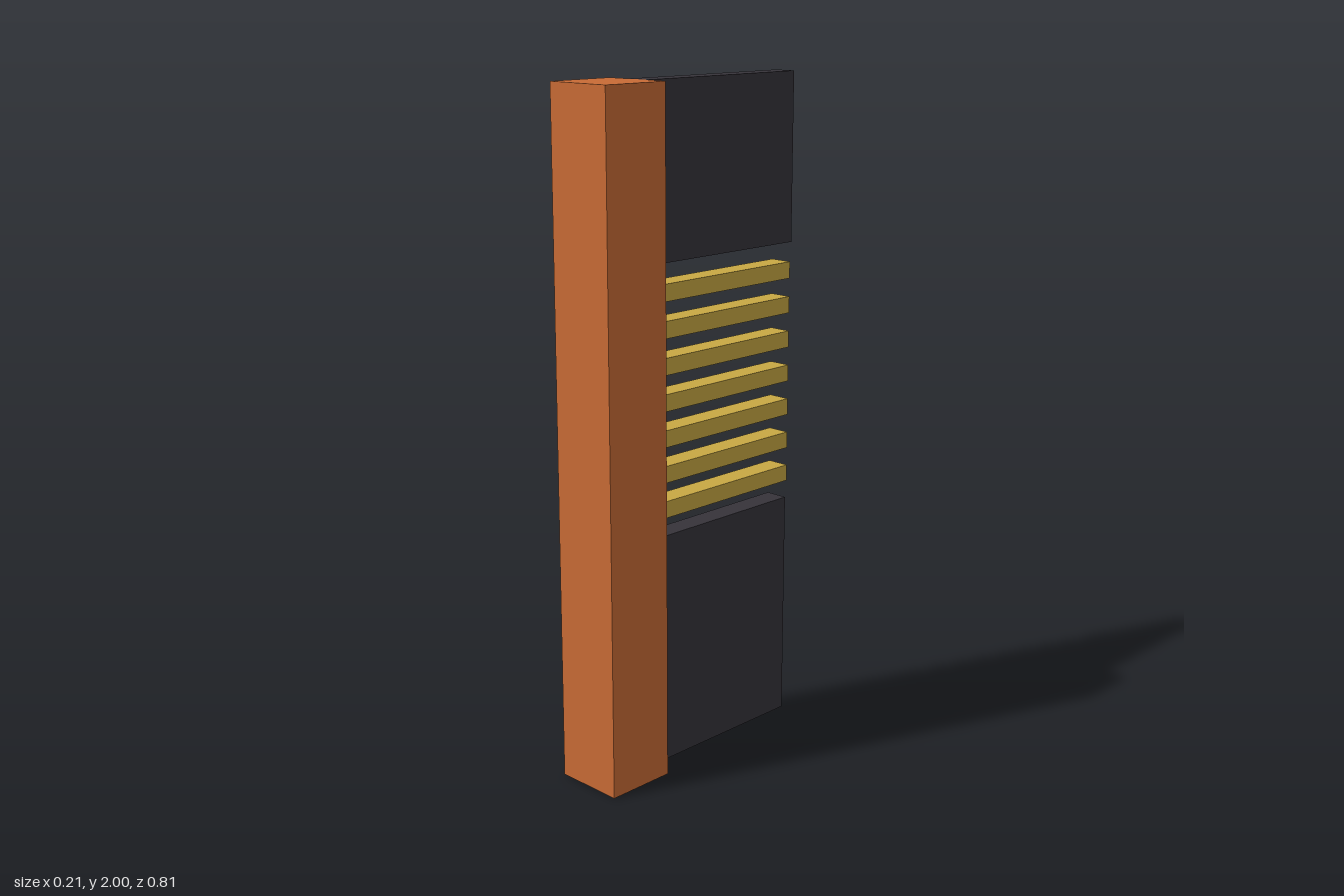
import * as THREE from 'three';

const material = (color, side = THREE.FrontSide) =>
  new THREE.MeshStandardMaterial({ color, side });

const THICKNESS = 0.07;
const POST_BACK = 0.19;

// Rectangular sleeve running back from the post, open at both ends
function sleeve(name, bottom, top, back, mat) {
  const length = POST_BACK - back;
  const geometry = new THREE.BoxGeometry(THICKNESS, top - bottom, length);
  // keep the four long walls, drop the two z ends
  geometry.setIndex(Array.from(geometry.index.array).slice(0, 24));
  geometry.clearGroups();
  const mesh = new THREE.Mesh(geometry, mat);
  mesh.name = name;
  mesh.position.set(0, (bottom + top) / 2, back + length / 2);
  return mesh;
}

export function createModel() {
  const group = new THREE.Group();
  group.name = 'slattedFencePost';

  const orange = material(0xc86b35);
  const dark = material(0x36333a, THREE.DoubleSide);
  const gold = material(0xc8a843, THREE.DoubleSide);

  // Square post at the front
  const post = new THREE.Mesh(new THREE.BoxGeometry(0.214, 2, 0.215), orange);
  post.name = 'post';
  post.position.set(0, 1, 0.2975);
  group.add(post);

  // Solid-looking panels above and below the slats
  group.add(sleeve('upperPanel', 1.5, 2, -0.405, dark));
  group.add(sleeve('lowerPanel', 0, 0.705, -0.395, dark));

  // Seven evenly spaced slats
  const slats = new THREE.Group();
  slats.name = 'slats';
  for (let i = 0; i < 7; i++) {
    const y = 0.783 + i * 0.1055;
    slats.add(sleeve('slat', y - 0.025, y + 0.025, -0.4, gold));
  }
  group.add(slats);

  return group;
}
